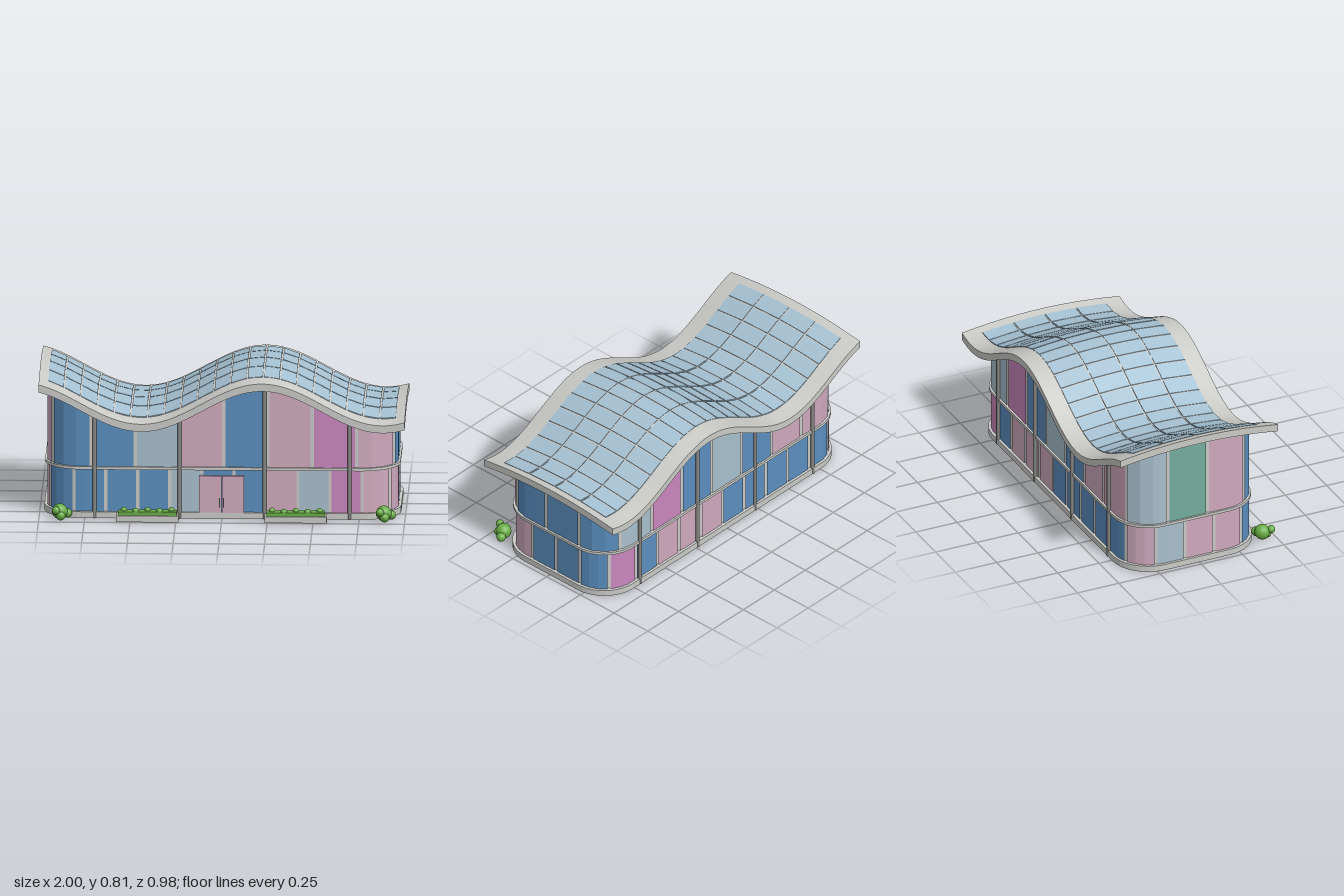
import * as THREE from 'three';

const mat = (name, color, side = THREE.FrontSide) => {
  const m = new THREE.MeshStandardMaterial({ color, side });
  m.name = name;
  return m;
};

// Plan: rounded rectangle, measured by arc length s (s = x along the front)
const ZC = -0.0125, HX = 0.96, HZ = 0.395, R = 0.2;
const FX = HX - R, FZ = HZ - R, ARC = (Math.PI / 2) * R;
const LENGTH = 4 * (FX + FZ + ARC);

function planPoint(s, off) {
  let t = (((s + FX) % LENGTH) + LENGTH) % LENGTH;
  const r = R + off;
  const half = 2 * FX + 2 * FZ + 2 * ARC;
  const sign = t >= half ? -1 : 1;
  if (sign < 0) t -= half;
  let x, z;
  if (t < 2 * FX) {
    x = -FX + t; z = FZ + r;
  } else if (t < 2 * FX + ARC) {
    const a = (t - 2 * FX) / R;
    x = FX + r * Math.sin(a); z = FZ + r * Math.cos(a);
  } else if (t < 2 * FX + ARC + 2 * FZ) {
    x = FX + r; z = FZ - (t - 2 * FX - ARC);
  } else {
    const a = (t - 2 * FX - ARC - 2 * FZ) / R;
    x = FX + r * Math.cos(a); z = -FZ - r * Math.sin(a);
  }
  return [sign * x, ZC + sign * z];
}

// Roof surface: a wave along x, a shallow arch along z
const ROOF_T = 0.042;
const roofTop = (x, z) =>
  0.695 + 0.115 * Math.cos((2 * Math.PI * (x - 0.22)) / 1.32) - 0.037 * ((z - ZC) / 0.4775) ** 2;
const roofUnder = (x, z) => roofTop(x, z) - ROOF_T;

// Upright strip that follows the plan between s0 and s1
function strip(s0, s1, off, low, high, n) {
  const pos = [], idx = [];
  for (let i = 0; i <= n; i++) {
    const [x, z] = planPoint(s0 + ((s1 - s0) * i) / n, off);
    pos.push(x, low, z, x, high(x, z), z);
    if (i < n) {
      const a = i * 2;
      idx.push(a, a + 2, a + 3, a, a + 3, a + 1);
    }
  }
  const g = new THREE.BufferGeometry();
  g.setAttribute('position', new THREE.Float32BufferAttribute(pos, 3));
  g.setIndex(idx);
  g.computeVertexNormals();
  return g;
}

// Flat ring that follows the plan
function ring(outer, inner, y, h) {
  const loop = (off) => Array.from({ length: 160 }, (_, i) => {
    const [x, z] = planPoint((i * LENGTH) / 160, off);
    return new THREE.Vector2(x, -z);
  });
  const shape = new THREE.Shape(loop(outer));
  shape.holes.push(new THREE.Path(loop(inner)));
  return new THREE.ExtrudeGeometry(shape, { depth: h, bevelEnabled: false })
    .rotateX(-Math.PI / 2).translate(0, y, 0);
}

// Bend a box whose top is at y = 0 onto the roof surface
function drape(g, lift) {
  const p = g.attributes.position;
  for (let i = 0; i < p.count; i++) p.setY(i, p.getY(i) + lift + roofTop(p.getX(i), p.getZ(i)));
  g.computeVertexNormals();
  return g;
}

export function createModel() {
  const concrete = mat('concrete', 0xcacac7, THREE.DoubleSide);
  const steel = mat('steel', 0x868684);
  const glass = {
    b: mat('blueGlass', 0x5a8ebf),
    w: mat('paleGlass', 0xa8bfcd),
    p: mat('pinkGlass', 0xcfa9bc),
    m: mat('magentaGlass', 0xca87be),
    g: mat('greenGlass', 0x74ad9f),
  };
  const solar = mat('roofPanelBlue', 0xa6c2d3);
  const leaf = mat('foliage', 0x68ad45);
  const dark = mat('handleGrey', 0x5c5c60);

  const model = new THREE.Group();
  const add = (name, geo, material, parent = model, x = 0, y = 0, z = 0) => {
    const m = new THREE.Mesh(geo, material);
    m.name = name;
    m.position.set(x, y, z);
    parent.add(m);
    return m;
  };
  const group = (name) => {
    const g = new THREE.Group();
    g.name = name;
    model.add(g);
    return g;
  };

  // Wall shell, plinth and floor belt
  add('wall', strip(0, LENGTH, -0.007, 0, (x, z) => roofUnder(x, z) + 0.01, 240), concrete);
  add('plinth', ring(0.015, -0.03, 0, 0.035), concrete);
  add('floorBelt', ring(0.011, -0.007, 0.271, 0.016), concrete);

  // Glazing: one letter per pane, evenly spaced around the plan
  const glaze = (name, colours, start, low, high) => {
    const parent = group(name);
    const pitch = LENGTH / colours.length;
    [...colours].forEach((c, i) => {
      const s = start + i * pitch;
      const g = strip(s + 0.009, s + pitch - 0.009, 0, low, high, 3).toNonIndexed();
      g.computeVertexNormals();
      add('pane', g, glass[c], parent);
    });
  };
  glaze('lowerGlazing', 'bpwmppbbbmbpppbbbbbpwppbbbbwb', 0.065, 0.035, () => 0.271);
  glaze('upperGlazing', 'bpmpbbbwmbwbppwgpbbwp', 0.01, 0.287, (x, z) => roofUnder(x, z) - 0.014);

  // Columns on both long sides
  const columns = group('columns');
  for (const x of [-0.697, -0.233, 0.233, 0.697])
    for (const z of [ZC + HZ + 0.008, ZC - HZ - 0.008]) {
      const h = roofUnder(x, z) + 0.01;
      add('column', new THREE.CylinderGeometry(0.011, 0.011, h, 12), steel, columns, x, h / 2, z);
    }

  // Wavy roof slab
  add('roof', drape(new THREE.BoxGeometry(2, ROOF_T, 0.955, 80, 1, 24)
    .translate(0, -ROOF_T / 2, ZC), 0), concrete);

  // Flat roof panels
  const panels = group('roofPanels');
  const cols = 21, rows = 4, pw = 1.906 / cols, pd = 0.76 / rows;
  for (let i = 0; i < cols; i++)
    for (let j = 0; j < rows; j++) {
      const g = new THREE.BoxGeometry(pw - 0.008, 0.008, pd - 0.009)
        .translate(-0.953 + (i + 0.5) * pw, -0.004, -0.395 + (j + 0.5) * pd);
      add('roofPanel', drape(g, 0.0037), solar, panels);
    }

  // Double door
  const door = group('door');
  for (const s of [-1, 1]) {
    add('doorLeaf', new THREE.BoxGeometry(0.121, 0.205, 0.02), glass.p, door, s * 0.062 - 0.002, 0.1375, 0.389);
    add('doorHandle', new THREE.BoxGeometry(0.006, 0.05, 0.008), dark, door, s * 0.011 - 0.002, 0.09, 0.403);
  }

  // Planters with clipped greenery
  for (const s of [-1, 1]) {
    const planter = group('planter');
    planter.position.set(s * 0.405, 0, 0.45);
    add('planterBox', new THREE.BoxGeometry(0.34, 0.035, 0.08), concrete, planter, 0, 0.0175, 0);
    add('hedge', new THREE.BoxGeometry(0.32, 0.02, 0.06), leaf, planter, 0, 0.045, 0);
    for (let i = 0; i < 5; i++)
      add('shrub', new THREE.SphereGeometry(0.018, 12, 8), leaf, planter,
        -0.13 + i * 0.065, 0.056, i % 2 ? 0.012 : -0.012);
  }

  // Round bushes at the front corners
  const lobes = [[0, 0.043, 0, 0.043], [-0.02, 0.058, 0.045, 0.022], [0.04, 0.03, -0.018, 0.026], [0.005, 0.026, 0.03, 0.026]];
  for (const x of [-0.885, 0.885]) {
    const bush = group('bush');
    bush.position.set(x, 0, 0.424);
    for (const [lx, ly, lz, r] of lobes)
      add('bushLobe', new THREE.SphereGeometry(r, 14, 10), leaf, bush, lx, ly, lz);
  }
  return model;
}
